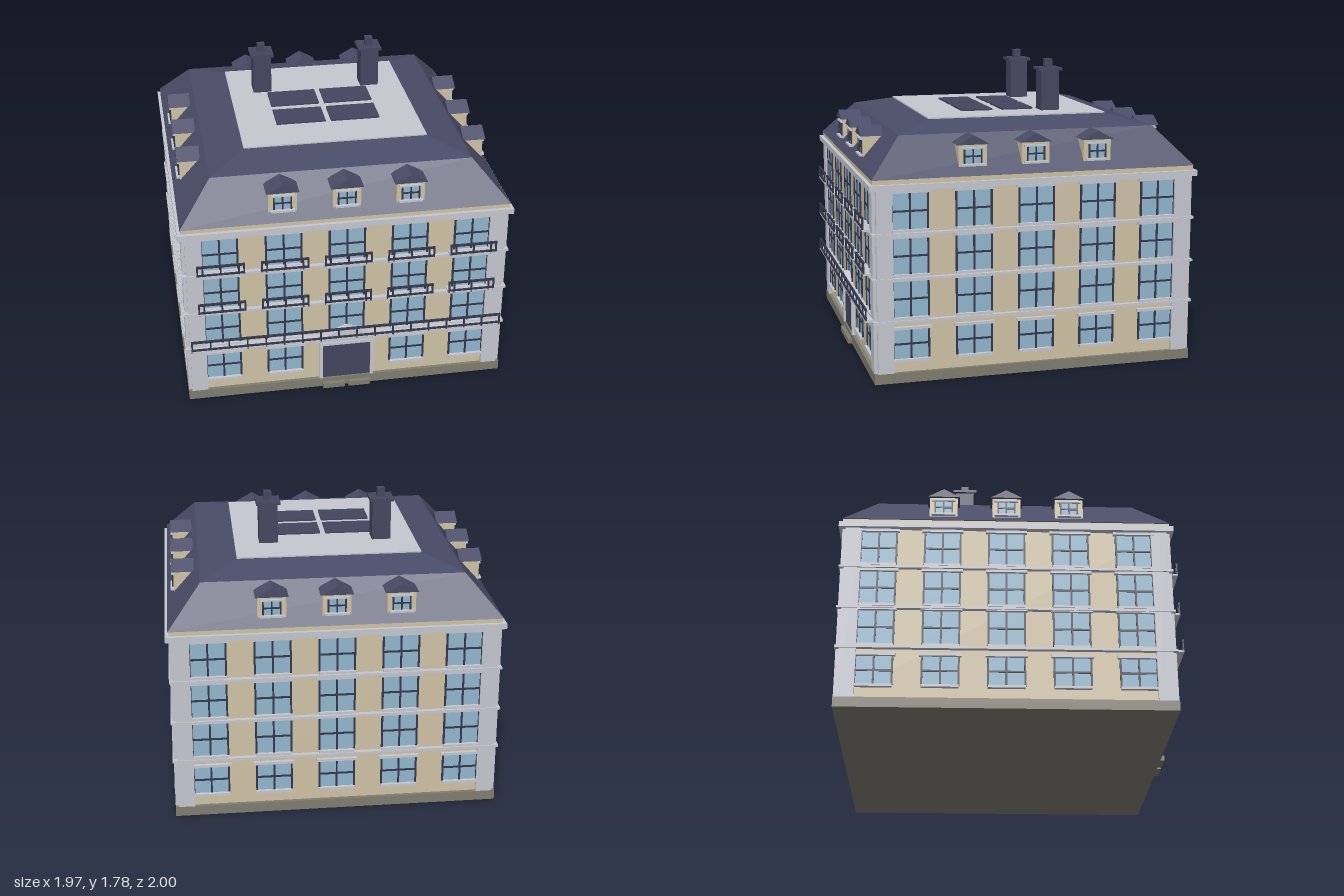
import * as THREE from 'three';

const mat = (name, color) => {
  const m = new THREE.MeshStandardMaterial({ color });
  m.name = name;
  return m;
};

export function createModel() {
  const wall = mat('tan wall', 0xd0c3a6);
  const stone = mat('pale stone', 0xc6c8d1);
  const slate = mat('slate roof', 0x494c67);
  const metal = mat('dark painted metal', 0x34374b);
  const door = mat('dark panel', 0x44465f);
  const glass = mat('window glass', 0x92b7cf);
  const plinth = mat('plinth', 0x807d70);

  const model = new THREE.Group();
  model.name = 'townHouse';
  const building = new THREE.Group();
  building.name = 'building';
  building.position.z = -0.012;
  model.add(building);

  const add = (parent, name, geometry, material) => {
    const m = new THREE.Mesh(geometry, material);
    m.name = name;
    parent.add(m);
    return m;
  };
  // Box given by its limits on each axis
  const box = (parent, name, material, x0, x1, y0, y1, z0, z1) => {
    const m = add(parent, name, new THREE.BoxGeometry(x1 - x0, y1 - y0, z1 - z0), material);
    m.position.set((x0 + x1) / 2, (y0 + y1) / 2, (z0 + z1) / 2);
    return m;
  };
  // Square block centred on the building axis
  const slab = (name, material, half, y0, y1) =>
    box(building, name, material, -half, half, y0, y1, -half, half);
  // Square frustum with flat sides
  const frustum = (name, material, h0, y0, h1, y1) => {
    const g = new THREE.CylinderGeometry(h1 * Math.SQRT2, h0 * Math.SQRT2, y1 - y0, 4)
      .rotateY(Math.PI / 4).toNonIndexed();
    g.computeVertexNormals();
    add(building, name, g, material).position.y = (y0 + y1) / 2;
  };
  // Triangular prism running along z
  const gable = (parent, name, material, half, y0, y1, z0, z1) => {
    const s = new THREE.Shape([
      new THREE.Vector2(-half, y0), new THREE.Vector2(half, y0), new THREE.Vector2(0, y1)]);
    const g = new THREE.ExtrudeGeometry(s, { depth: z1 - z0, bevelEnabled: false });
    add(parent, name, g, material).position.z = z0;
  };
  const subgroup = (parent, name, x = 0) => {
    const g = new THREE.Group();
    g.name = name;
    g.position.x = x;
    parent.add(g);
    return g;
  };

  // Main volume, bands and roof
  slab('plinth', plinth, 0.965, 0, 0.06);
  slab('walls', wall, 0.945, 0.06, 1.14);
  for (const y of [0.358, 0.607, 0.868]) slab('stringCourse', stone, 0.972, y, y + 0.014);
  slab('cornice', stone, 0.984, 1.13, 1.163);
  slab('eavesBand', wall, 0.962, 1.163, 1.19);
  frustum('lowerRoof', slate, 0.968, 1.19, 0.772, 1.41);
  frustum('upperRoof', slate, 0.772, 1.41, 0.55, 1.465);
  slab('roofTerrace', stone, 0.55, 1.46, 1.473);

  // Roof panels
  for (const [x0, x1] of [[-0.318, -0.018], [0.015, 0.315]])
    for (const [z0, z1] of [[-0.165, 0.033], [0.093, 0.288]])
      box(building, 'roofPanel', door, x0, x1, 1.473, 1.483, z0, z1);

  // Chimneys
  for (const x of [-0.344, 0.344]) {
    const c = subgroup(building, 'chimney', x);
    c.position.z = -0.25;
    box(c, 'chimneyShaft', door, -0.057, 0.057, 1.465, 1.72, -0.057, 0.057);
    box(c, 'chimneyCap', door, -0.073, 0.073, 1.715, 1.732, -0.073, 0.073);
    box(c, 'chimneyPot', door, -0.023, 0.023, 1.73, 1.785, -0.023, 0.023);
  }

  // Glazed opening with an outer frame and a cross of glazing bars
  const casement = (g, half, y0, y1, z, bar) => {
    const ym = (y0 + y1) / 2, b = bar / 2;
    box(g, 'glass', glass, -half, half, y0, y1, z, z + 0.003);
    for (const x of [-half, 0, half])
      box(g, 'verticalBar', metal, x - b, x + b, y0, y1, z, z + 0.009);
    box(g, 'crossBar', metal, -half, half, ym - b, ym + b, z, z + 0.008);
  };

  const columns = [-0.747, -0.3735, 0, 0.3735, 0.747];
  const rows = [[0.14, 0.315], [0.388, 0.6], [0.64, 0.85], [0.9, 1.11]];

  const dormer = (parent, x) => {
    const d = subgroup(parent, 'dormer', x);
    box(d, 'dormerBody', wall, -0.083, 0.083, 1.235, 1.368, 0.8, 0.925);
    casement(d, 0.05, 1.257, 1.338, 0.925, 0.009);
    box(d, 'dormerSill', stone, -0.07, 0.07, 1.242, 1.254, 0.92, 0.945);
    box(d, 'dormerLintel', stone, -0.07, 0.07, 1.34, 1.35, 0.92, 0.938);
    gable(d, 'dormerRoof', slate, 0.096, 1.365, 1.418, 0.802, 0.94);
  };

  // Each facade is built facing +z, then turned
  for (let side = 0; side < 4; side++) {
    const f = subgroup(building, ['frontFacade', 'leftFacade', 'backFacade', 'rightFacade'][side]);
    f.rotation.y = side * Math.PI / 2;
    for (const s of [-1, 1])
      box(f, 'cornerPier', stone, s * 0.897 - 0.048, s * 0.897 + 0.048, 0.06, 1.14, 0.93, 0.965);
    rows.forEach(([y0, y1], r) => columns.forEach((x, c) => {
      if (side === 0 && r === 0 && c === 2) return; // the entrance sits here
      const w = subgroup(f, 'window', x);
      casement(w, 0.104, y0, y1, 0.945, 0.011);
      box(w, 'windowSill', stone, -0.106, 0.106, y0 - 0.015, y0, 0.94, 0.968);
      box(w, 'windowLintel', stone, -0.12, 0.12, y1, y1 + 0.016, 0.94, 0.966);
    }));
    for (const x of columns.slice(1, 4)) dormer(f, x);
  }

  // Front balconies: thin slab and an open railing
  const balcony = (name, x, half, y, posts) => {
    const b = subgroup(building, name, x);
    box(b, 'balconySlab', stone, -half, half, y - 0.018, y - 0.006, 0.94, 1.01);
    box(b, 'bottomRail', metal, -half, half, y - 0.004, y + 0.006, 1.001, 1.011);
    box(b, 'topRail', metal, -half, half, y + 0.05, y + 0.062, 1, 1.012);
    for (const p of posts)
      box(b, 'railingPost', metal, p - 0.005, p + 0.005, y - 0.016, y + 0.058, 1.002, 1.01);
  };
  for (const y of [0.645, 0.903])
    for (const x of columns) balcony('balcony', x, 0.14, y, [-0.135, -0.105, 0, 0.105, 0.135]);
  const longPosts = Array.from({ length: 18 }, (_, i) => -0.935 + i * 0.11);
  balcony('longBalcony', 0, 0.94, 0.385, longPosts);

  // Entrance
  const e = subgroup(building, 'entrance');
  box(e, 'doorLeaf', door, -0.148, 0.148, 0.06, 0.3, 0.94, 0.956);
  box(e, 'transomGlass', glass, -0.148, 0.148, 0.318, 0.338, 0.94, 0.95);
  box(e, 'doorHead', stone, -0.165, 0.165, 0.3, 0.318, 0.94, 0.968);
  for (const s of [-1, 1])
    box(e, 'doorJamb', stone, s * 0.157 - 0.01, s * 0.157 + 0.01, 0.06, 0.338, 0.94, 0.968);
  box(e, 'doorCanopy', stone, -0.2, 0.2, 0.338, 0.368, 0.94, 0.985);
  gable(e, 'pediment', stone, 0.16, 0.368, 0.44, 0.945, 0.985);
  for (const [x0, x1] of [[-0.148, -0.012], [0.01, 0.145]])
    box(e, 'doorStep', plinth, x0, x1, 0, 0.032, 0.955, 0.99);

  return model;
}
